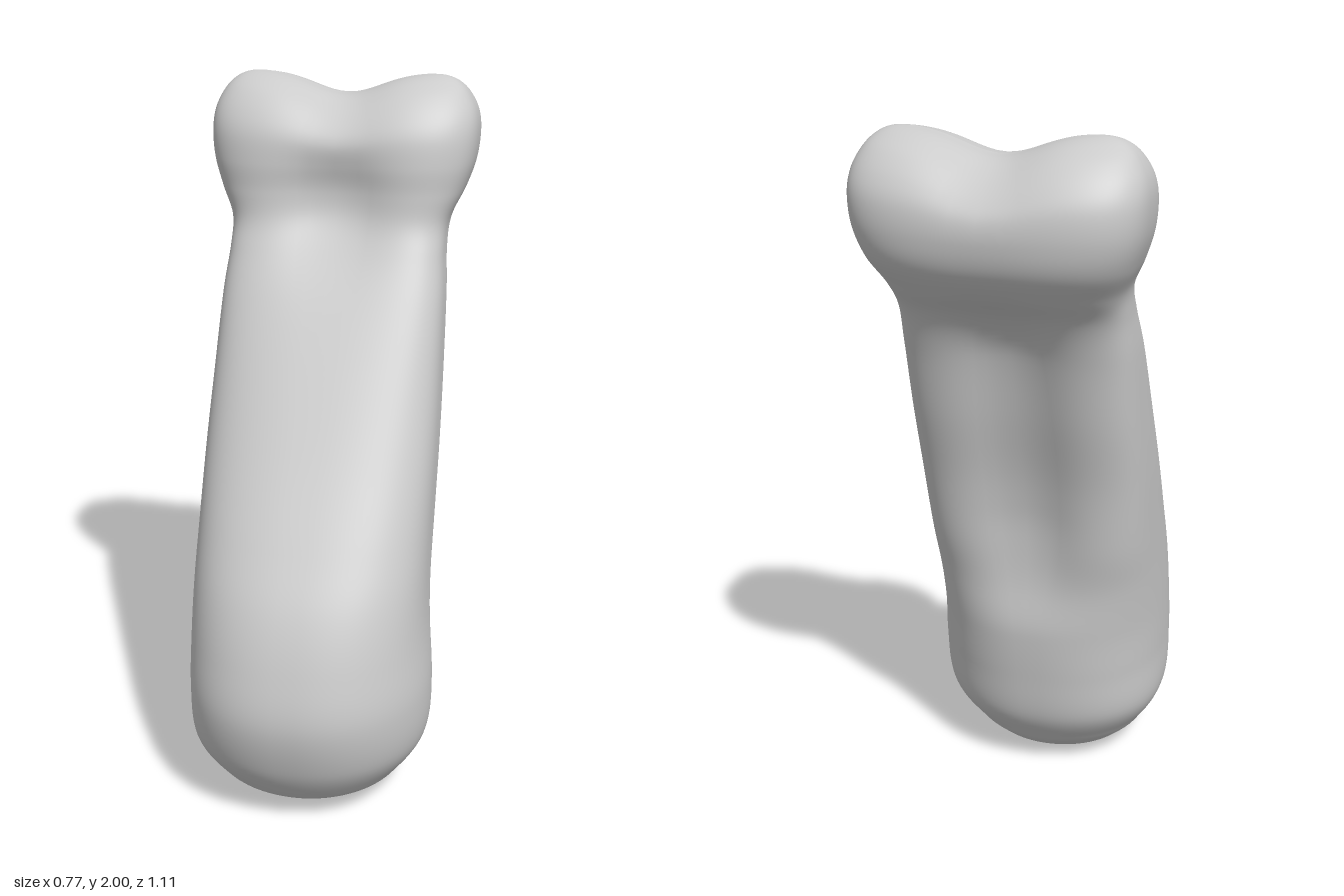
import * as THREE from 'three';

// Horizontal slices: [y, half width, front z, back z, front squareness, back squareness]
const SLICES = [
  [0.0, 0.0, 0.15, 0.15, 2, 2],
  [0.012, 0.12, 0.24, 0.07, 2, 2],
  [0.03, 0.195, 0.345, 0.015, 2, 2],
  [0.06, 0.24, 0.415, -0.025, 2, 2],
  [0.1, 0.275, 0.46, -0.06, 2.1, 2.1],
  [0.2, 0.328, 0.52, -0.12, 2.3, 2.3],
  [0.35, 0.332, 0.555, -0.148, 2.4, 2.4],
  [0.5, 0.332, 0.53, -0.166, 2.4, 2.5],
  [0.65, 0.331, 0.475, -0.172, 2.4, 3],
  [0.8, 0.33, 0.385, -0.198, 2.5, 3.5],
  [1.0, 0.33, 0.255, -0.235, 2.6, 3.7],
  [1.2, 0.326, 0.13, -0.29, 2.8, 3.7],
  [1.4, 0.32, 0.005, -0.345, 3.2, 3.4],
  [1.52, 0.311, -0.07, -0.4, 3.6, 3.1],
  [1.6, 0.316, -0.108, -0.475, 3.6, 3],
  [1.68, 0.352, -0.12, -0.535, 3.4, 3.1],
  [1.76, 0.378, -0.122, -0.556, 3.2, 3.2],
  [1.84, 0.386, -0.135, -0.553, 3.1, 3.2],
  [1.9, 0.378, -0.165, -0.527, 3, 3.1],
  [1.95, 0.353, -0.208, -0.483, 2.8, 2.9],
  [1.98, 0.322, -0.256, -0.434, 2.6, 2.6],
  [1.995, 0.285, -0.3, -0.39, 2.3, 2.3],
  [2.0, 0.24, -0.345, -0.345, 2, 2],
];

const { smoothstep } = THREE.MathUtils;
const bump = (v, centre, width) => Math.exp(-(((v - centre) / width) ** 2));
const rail = (pick) => new THREE.CatmullRomCurve3(SLICES.map((s) => new THREE.Vector3(...pick(s))), false, 'catmullrom');

// Smooth skin through the slices, shaped by grooves and lobes
function boneGeometry(rows = 176, cols = 96) {
  const outline = rail(([y, w, f]) => [w, y, f]);
  const rear = rail(([, , , b, nf, nb]) => [nf, nb, b]);
  const pos = [], index = [];
  for (let i = 0; i <= rows; i++) {
    const o = outline.getPoint(i / rows), r = rear.getPoint(i / rows);
    const mid = (o.z + r.z) / 2, depth = Math.max(0, (o.z - r.z) / 2);
    const width = Math.max(0, o.x);
    const channel = 0.055 * smoothstep(o.y, 0.5, 0.9) * (1 - smoothstep(o.y, 1.4, 1.65));
    const dip = 0.055 * bump(o.y, 1.66, 0.17) * (1 - smoothstep(o.y, 1.85, 2));
    for (let j = 0; j < cols; j++) {
      const a = (j / cols) * Math.PI * 2, c = Math.cos(a), s = Math.sin(a);
      // the foot is rounder on the left side
      const power = (2 / (s < 0 ? r.y : r.x)) * (c > 0 ? 1 + 0.15 * c * bump(o.y, 0.3, 0.25) : 1);
      let x = width * Math.sign(c) * Math.abs(c) ** power;
      let y = o.y;
      let z = mid + depth * Math.sign(s) * Math.abs(s) ** power;
      // channel down the back of the shaft, and dip between the front lobes
      if (s < 0) z -= channel * bump(x, 0, 0.13) * s;
      else z -= dip * bump(x, 0, 0.14) * s;
      // low swelling on the left side
      if (x > 0) x += 0.024 * bump(y, 0.33, 0.18) * c * c;
      // saddle across the top
      y -= 0.06 * bump(x, 0, 0.14) * smoothstep(y, 1.7, 1.98);
      pos.push(x, y, z);
      if (i < rows) {
        const p = i * cols + j, q = i * cols + ((j + 1) % cols);
        index.push(p, p + cols, q, q, p + cols, q + cols);
      }
    }
  }
  const geo = new THREE.BufferGeometry();
  geo.setAttribute('position', new THREE.Float32BufferAttribute(pos, 3));
  geo.setIndex(index);
  geo.computeVertexNormals();
  return geo;
}

export function createModel() {
  const group = new THREE.Group();
  const bone = new THREE.Mesh(boneGeometry(), new THREE.MeshStandardMaterial({ color: 0xcccccc }));
  bone.name = 'bone';
  group.add(bone);
  return group;
}
